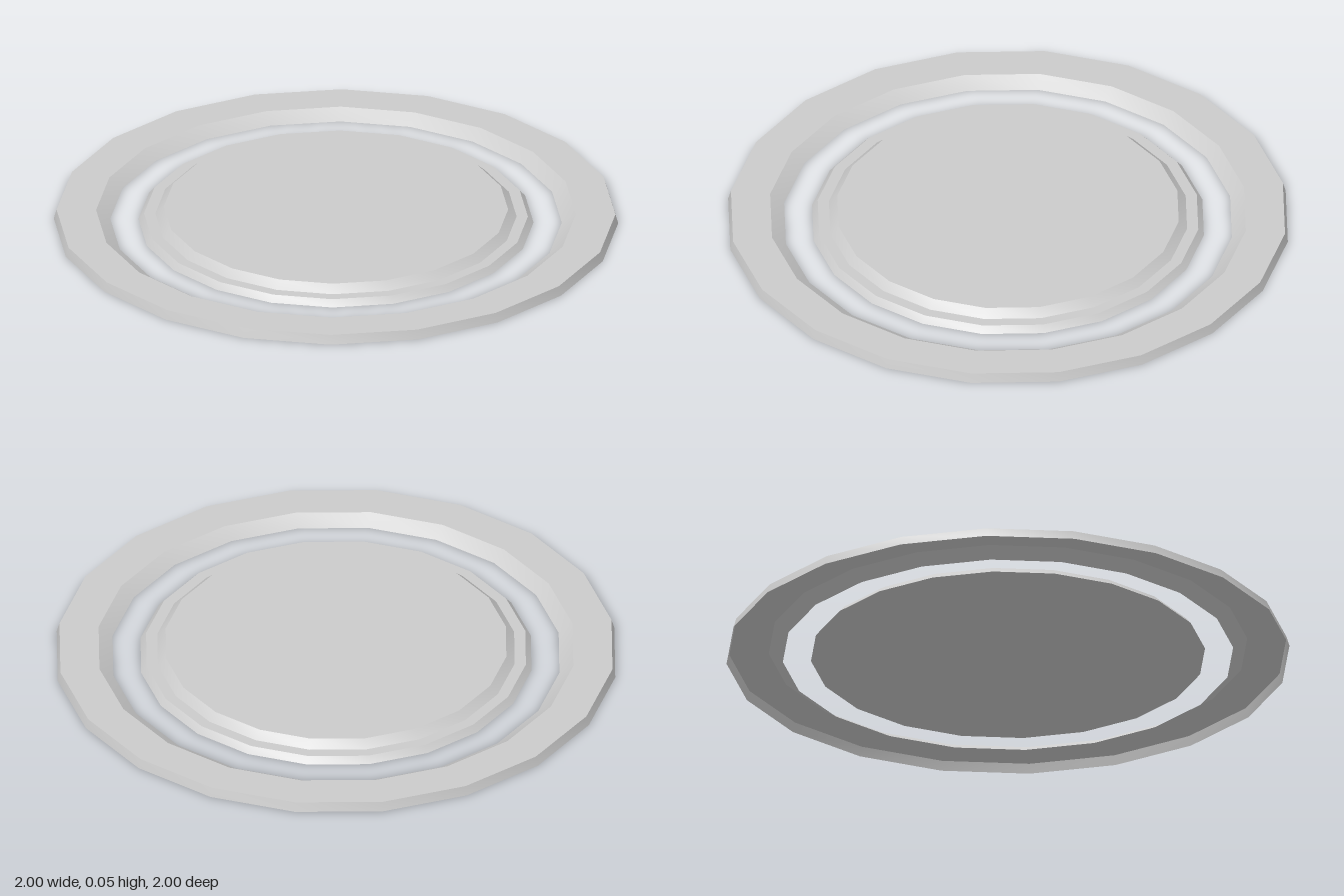
import * as THREE from 'three';
import { toCreasedNormals } from 'three/addons/utils/BufferGeometryUtils.js';

const SIDES = 20;

// Turns a [radius, height] profile, smooth around but sharp along its steps.
function turned(name, profile, side = THREE.FrontSide) {
  const points = profile.map(([r, y]) => new THREE.Vector2(r, y));
  const geometry = toCreasedNormals(new THREE.LatheGeometry(points, SIDES), Math.PI / 7);
  const mesh = new THREE.Mesh(geometry, new THREE.MeshStandardMaterial({ color: 0xcccccc, side }));
  mesh.name = name;
  return mesh;
}

export function createModel() {
  const group = new THREE.Group();
  group.name = 'discWithRing';

  // Outer ring: thin shell, open underneath, sloping down to its inner rim
  group.add(turned('outerRing', [[1, 0], [0.99, 0.034], [0.85, 0.034], [0.8, 0]], THREE.DoubleSide));

  // Centre disc: closed base with a flat step and a raised, bevelled top
  group.add(turned('centreDisc', [
    [0, 0], [0.7, 0], [0.68, 0.023], [0.64, 0.023], [0.61, 0.05], [0, 0.05],
  ]));

  return group;
}
